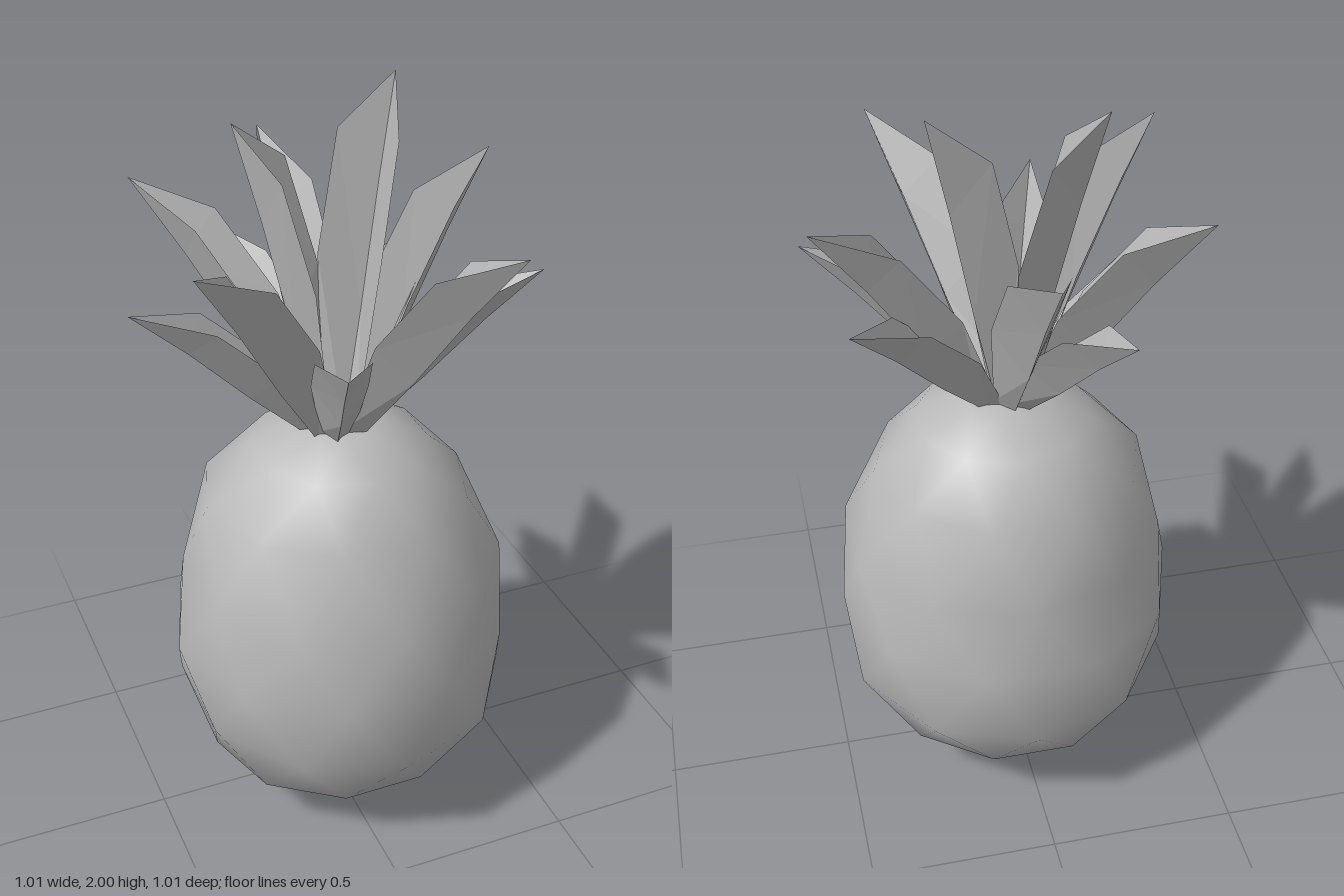
import * as THREE from 'three';

const SIDES = 10;

// Fruit rings from bottom to top: y, min x, max x, min z, max z
const RINGS = [
  [0, 0.03, 0.03, 0.03, 0.03],
  [0.045, -0.17, 0.2, -0.16, 0.22],
  [0.18, -0.34, 0.38, -0.34, 0.38],
  [0.36, -0.41, 0.475, -0.445, 0.485],
  [0.55, -0.435, 0.475, -0.42, 0.47],
  [0.75, -0.395, 0.46, -0.39, 0.45],
  [0.97, -0.335, 0.37, -0.335, 0.36],
  [1.1, -0.2, 0.255, -0.215, 0.25],
  [1.16, -0.07, 0.14, -0.08, 0.12],
  [1.165, 0.03, 0.03, 0.02, 0.02],
];

// Leaf tips: x, y, z, half width
const LEAVES = [
  [-0.18, 1.56, -0.46, 0.07],
  [-0.51, 1.56, 0.03, 0.068],
  [-0.155, 1.56, 0.505, 0.07],
  [0.505, 1.56, 0.17, 0.068],
  [0.44, 1.56, -0.275, 0.068],
  [0.01, 1.76, -0.51, 0.078],
  [-0.4, 1.76, -0.3, 0.075],
  [-0.43, 1.76, 0.3, 0.075],
  [0.285, 1.76, 0.48, 0.078],
  [0.505, 1.76, -0.15, 0.075],
  [0.23, 2.0, -0.13, 0.09],
  [-0.21, 1.95, -0.07, 0.095],
];

function makeGeometry(points, index) {
  const geo = new THREE.BufferGeometry();
  geo.setAttribute('position', new THREE.Float32BufferAttribute(points, 3));
  geo.setIndex(index);
  return geo;
}

// Smooth low-poly fruit, each ring turned half a step
function fruitGeometry() {
  const points = [], index = [];
  RINGS.forEach(([y, x0, x1, z0, z1], i) => {
    for (let j = 0; j < SIDES; j++) {
      const a = ((j + i / 2) / SIDES) * Math.PI * 2;
      points.push((x0 + x1) / 2 + Math.cos(a) * (x1 - x0) / 2, y,
        (z0 + z1) / 2 + Math.sin(a) * (z1 - z0) / 2);
      if (i === RINGS.length - 1) continue;
      const p = i * SIDES + j, n = i * SIDES + (j + 1) % SIDES;
      index.push(p, p + SIDES, n, p + SIDES, n + SIDES, n);
    }
  });
  const geo = makeGeometry(points, index);
  geo.computeVertexNormals();
  return geo;
}

// Folded blade: a low keel between two raised edges, meeting at the tip
function leafGeometry([tx, ty, tz, half]) {
  const base = new THREE.Vector3(0.015, 1.13, 0.025);
  const out = new THREE.Vector3(tx - base.x, 0, tz - base.z);
  const reach = out.length(), rise = ty - base.y;
  out.normalize();
  const side = new THREE.Vector3(-out.z, 0, out.x);
  // Along-reach fraction, rise fraction, width factor, edge lift factor
  const sections = [
    [0.14, 0, 0.6, 0.35],
    [0.44, 0.34, 1, 1],
    [0.73, 0.7, 0.95, 0.9],
    [1, 1, 0, 0],
  ];
  const points = [], index = [];
  sections.forEach(([r, h, w, lift], i) => {
    for (const s of [-1, 0, 1]) {
      const edge = Math.abs(s) * lift;
      const p = base.clone()
        .addScaledVector(out, r * reach - edge * 0.06)
        .addScaledVector(side, s * w * half);
      p.y += h * rise + edge * 0.18 * rise;
      points.push(p.x, p.y, p.z);
    }
    if (i === sections.length - 1) return;
    for (let k = 0; k < 2; k++) {
      const a = i * 3 + k;
      index.push(a, a + 1, a + 3, a + 1, a + 4, a + 3);
    }
  });
  const geo = makeGeometry(points, index).toNonIndexed();
  geo.computeVertexNormals(); // flat facets
  return geo;
}

export function createModel() {
  const grey = new THREE.MeshStandardMaterial({ color: 0xb8b8b8, side: THREE.DoubleSide });
  grey.name = 'plain grey';

  const model = new THREE.Group();
  model.name = 'pineapple';

  const fruit = new THREE.Mesh(fruitGeometry(), grey);
  fruit.name = 'fruit';
  model.add(fruit);

  // Crown: five low leaves, five middle leaves and two upright ones
  const crown = new THREE.Group();
  crown.name = 'crown';
  LEAVES.forEach((leaf, i) => {
    const mesh = new THREE.Mesh(leafGeometry(leaf), grey);
    mesh.name = `leaf${i + 1}`;
    crown.add(mesh);
  });
  model.add(crown);
  return model;
}
